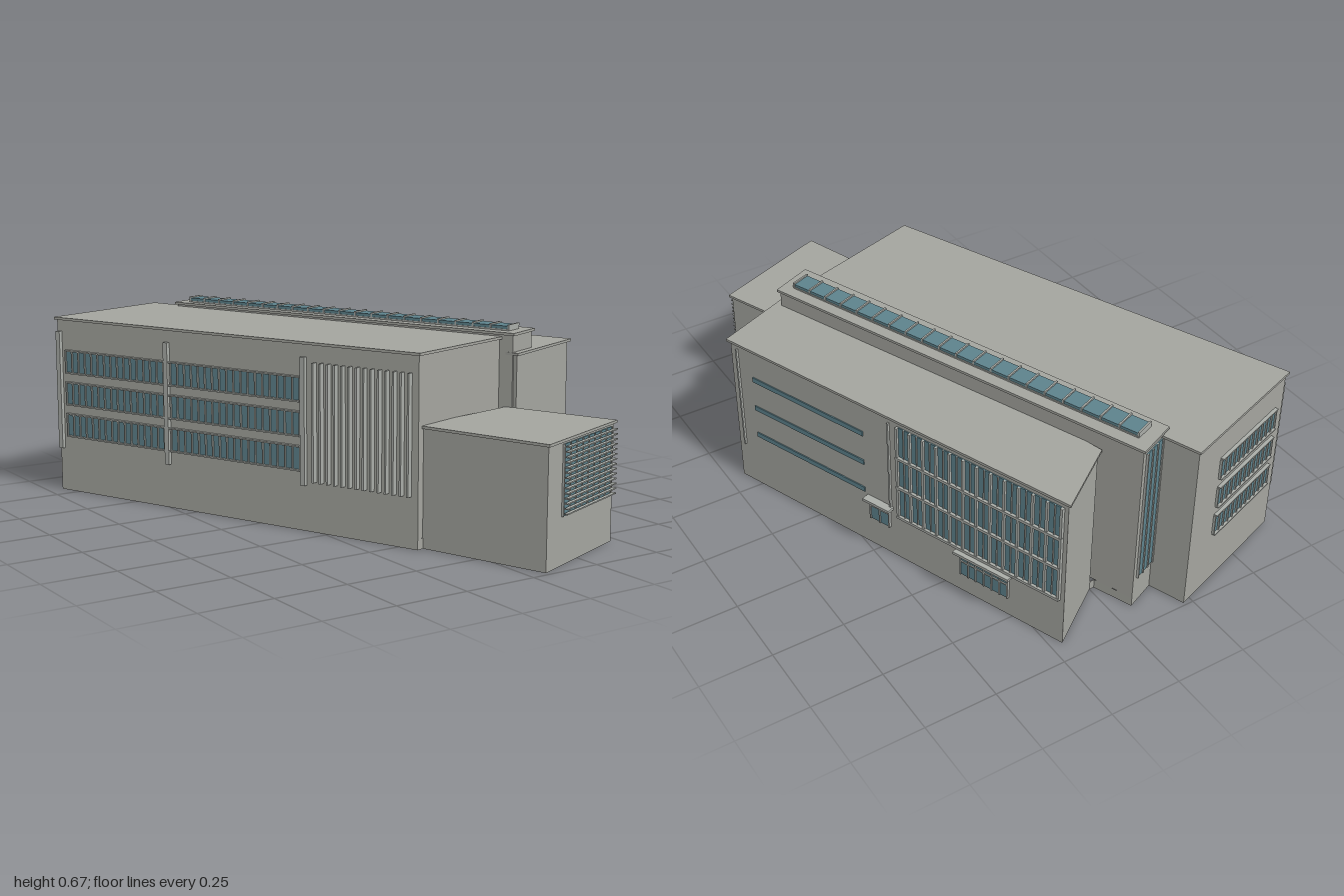
import * as THREE from 'three';

const wallMat = new THREE.MeshStandardMaterial({ color: 0xa3a49e, side: THREE.DoubleSide });
wallMat.name = 'concrete';
const trimMat = new THREE.MeshStandardMaterial({ color: 0xa9aca7 });
trimMat.name = 'trim';
const glassMat = new THREE.MeshStandardMaterial({ color: 0x5d828c });
glassMat.name = 'glass';

// Footprints as [x, z] corners
const WEST = [[-0.695, -0.825], [-0.11, 0.565], [0.315, 0.43], [-0.22, -0.99]];
const EAST = [[0.0, -0.78], [0.345, 0.485], [0.692, 0.335], [0.21, -0.93]];
const SPINE = [[-0.19, -0.86], [0.335, 0.475], [0.46, 0.42], [-0.07, -0.912]];
const ANNEX = [[-0.088, 0.55], [0.06, 0.985], [0.47, 0.82], [0.325, 0.46]];
const OUTLINE = [WEST[0], WEST[1], [-0.085, 0.558], ANNEX[1], ANNEX[2], [0.336, 0.489], EAST[2], EAST[3],
  EAST[0], [-0.017, -0.78], SPINE[3], SPINE[0], [-0.171, -0.86], WEST[3]];
const FLOOR = 0.035;

// Push every edge of a convex footprint outward by d
function grow(pts, d) {
  const n = pts.length;
  const normal = (i) => {
    const a = pts[i % n], b = pts[(i + 1) % n];
    const dx = b[0] - a[0], dz = b[1] - a[1], l = Math.hypot(dx, dz);
    return [-dz / l, dx / l];
  };
  return pts.map((p, i) => {
    const m = normal(i + n - 1), k = normal(i);
    const s = d / (1 + m[0] * k[0] + m[1] * k[1]);
    return [p[0] + (m[0] + k[0]) * s, p[1] + (m[1] + k[1]) * s];
  });
}

// Upright prism over a footprint
function prism(name, pts, y0, y1, mat = wallMat) {
  const shape = new THREE.Shape(pts.map(([x, z]) => new THREE.Vector2(x, -z)));
  const geo = new THREE.ExtrudeGeometry(shape, { depth: y1 - y0, bevelEnabled: false });
  geo.rotateX(-Math.PI / 2);
  geo.translate(0, y0, 0);
  const mesh = new THREE.Mesh(geo, mat);
  mesh.name = name;
  return mesh;
}

// Group lying on a wall: x runs from a to b, y is up, z points outward
function facade(name, a, b) {
  const g = new THREE.Group();
  g.name = name;
  g.position.set(a[0], 0, a[1]);
  g.rotation.y = Math.atan2(a[1] - b[1], b[0] - a[0]);
  return g;
}

// Box given by its extents on a facade
function slab(g, name, mat, u0, u1, y0, y1, depth, z0 = 0) {
  const mesh = new THREE.Mesh(new THREE.BoxGeometry(u1 - u0, y1 - y0, depth), mat);
  mesh.position.set((u0 + u1) / 2, (y0 + y1) / 2, z0 + depth / 2);
  mesh.name = name;
  g.add(mesh);
}

// Evenly spaced vertical bars
function bars(g, name, u0, u1, y0, y1, count, width, depth) {
  for (let i = 0; i <= count; i++) {
    const u = u0 + (u1 - u0) * i / count;
    slab(g, name, trimMat, u - width / 2, u + width / 2, y0, y1, depth);
  }
}

// Three ribbon windows, one per storey
function ribbons(g, u0, u1, count) {
  for (const y of [0.205, 0.32, 0.435]) {
    slab(g, 'ribbonGlass', glassMat, u0, u1, y, y + 0.075, 0.003);
    bars(g, 'ribbonMullion', u0, u1, y, y + 0.075, count, 0.005, 0.008);
    slab(g, 'ribbonSill', trimMat, u0, u1, y - 0.005, y, 0.012);
    slab(g, 'ribbonHead', trimMat, u0, u1, y + 0.075, y + 0.08, 0.012);
  }
}

// Glazed ground floor bay under a canopy
function bay(g, u0, u1, y0, y1, count) {
  slab(g, 'bayGlass', glassMat, u0, u1, y0, y1, 0.006);
  bars(g, 'bayMullion', u0, u1, y0, y1, count, 0.005, 0.01);
  slab(g, 'bayRail', trimMat, u0, u1, y0 + 0.055, y0 + 0.06, 0.01);
  slab(g, 'bayCanopy', trimMat, u0 - 0.015, u1 + 0.015, y1, y1 + 0.01, 0.028);
}

export function createModel() {
  const model = new THREE.Group();
  model.name = 'building';

  // Blocks and their overhanging roofs
  for (const [name, pts, top, over] of [['westWing', WEST, 0.63, 0.008], ['eastWing', EAST, 0.58, 0.01],
    ['spine', SPINE, 0.645, 0.008], ['annex', ANNEX, 0.397, 0.008]]) {
    model.add(prism(name, pts, FLOOR, top - 0.009));
    model.add(prism(name + 'Roof', grow(pts, over), top - 0.009, top));
  }

  // Wall feet below the raised floor
  OUTLINE.forEach((a, i) => {
    const b = OUTLINE[(i + 1) % OUTLINE.length];
    const len = Math.hypot(b[0] - a[0], b[1] - a[1]);
    const g = facade('wallFoot', a, b);
    const foot = new THREE.Mesh(new THREE.PlaneGeometry(len, FLOOR), wallMat);
    foot.name = 'wallFootFace';
    foot.position.set(len / 2, FLOOR / 2, 0);
    g.add(foot);
    model.add(g);
  });

  // West facade: ribbon windows, pilasters and tall sun fins
  const west = facade('westFacade', WEST[0], WEST[1]);
  ribbons(west, 0.04, 1.06, 34);
  for (const u of [0.012, 0.505, 1.075]) slab(west, 'pilaster', trimMat, u - 0.009, u + 0.009, 0.155, 0.58, 0.014);
  bars(west, 'sunFin', 1.12, 1.48, 0.17, 0.565, 13, 0.007, 0.02);
  model.add(west);

  // Rear wall of the west wing
  const rear = facade('westRearFacade', WEST[3], WEST[0]);
  ribbons(rear, 0.135, 0.46, 12);
  model.add(rear);

  // Tall stair window at the rear of the spine
  const stair = facade('stairWindow', SPINE[3], SPINE[0]);
  slab(stair, 'stairGlass', glassMat, 0.02, 0.11, 0.11, 0.615, 0.004);
  bars(stair, 'stairMullion', 0.02, 0.11, 0.11, 0.615, 3, 0.005, 0.008);
  model.add(stair);

  // East facade: strips, pipes, bays and the large glazed wall
  const east = facade('eastFacade', EAST[2], EAST[3]);
  for (const y of [0.212, 0.326, 0.444]) {
    slab(east, 'stripWindow', glassMat, 0.09, 0.565, y, y + 0.018, 0.004);
  }
  for (const u of [0.028, 0.673]) slab(east, 'downpipe', trimMat, u - 0.003, u + 0.003, 0.15 + u * 0.07, 0.55, 0.008);
  bay(east, 0.59, 0.668, 0.115, 0.195, 2);
  bay(east, 0.96, 1.145, 0.075, 0.167, 6);
  slab(east, 'gridGlass', glassMat, 0.71, 1.335, 0.18, 0.55, 0.004);
  bars(east, 'gridMullion', 0.71, 1.335, 0.18, 0.55, 12, 0.009, 0.012);
  bars(east, 'gridThinMullion', 0.736, 1.309, 0.18, 0.55, 11, 0.004, 0.008);
  for (const y of [0.18, 0.305, 0.425]) slab(east, 'gridRail', trimMat, 0.705, 1.34, y, y + 0.01, 0.014);
  model.add(east);

  // Annex window behind horizontal louvres
  const front = facade('annexFacade', ANNEX[1], ANNEX[2]);
  slab(front, 'annexGlass', glassMat, 0.095, 0.42, 0.155, 0.38, 0.004);
  bars(front, 'annexMullion', 0.095, 0.42, 0.155, 0.38, 8, 0.005, 0.007);
  for (let i = 0; i < 14; i++) {
    const y = 0.165 + i * 0.016;
    slab(front, 'louvre', trimMat, 0.09, 0.428, y - 0.002, y + 0.002, 0.012, 0.01);
  }
  model.add(front);

  // Rooftop skylight running along the spine
  const sky = facade('skylight', [-0.12, -0.845], [0.385, 0.415]);
  const len = 1.357;
  slab(sky, 'skylightGlass', glassMat, 0, len, 0.64, 0.66, 0.066, -0.033);
  for (const z of [-0.036, 0.033]) slab(sky, 'skylightCurb', trimMat, 0, len, 0.64, 0.65, 0.003, z);
  for (let i = 0; i <= 20; i++) {
    const u = len * i / 20;
    slab(sky, 'skylightBar', trimMat, u - 0.003, u + 0.003, 0.64, 0.665, 0.07, -0.035);
  }
  model.add(sky);

  return model;
}
